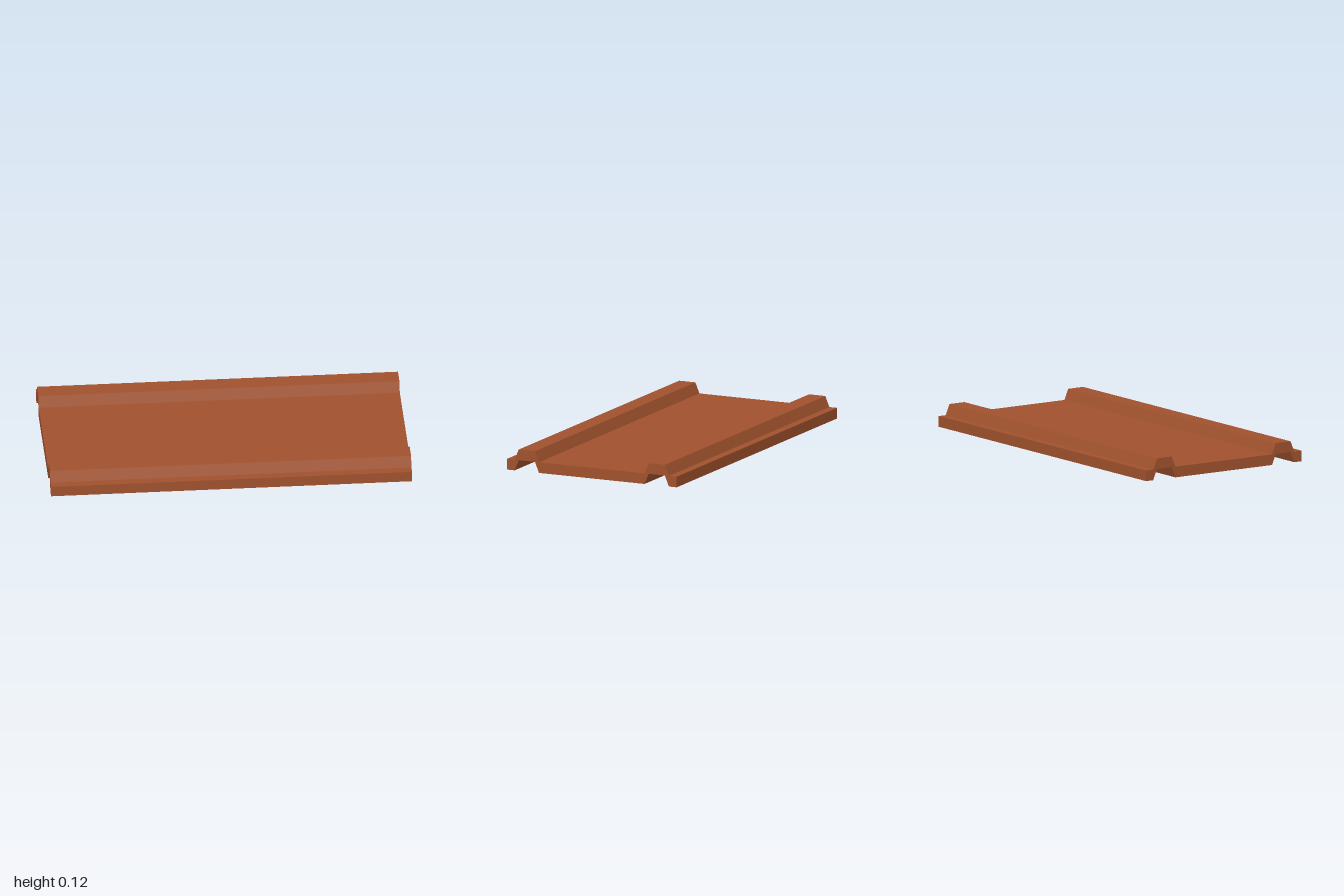
import * as THREE from 'three';

const LENGTH = 2;
const THICKNESS = 0.06;

// Half of the sheet's upper line, from the centre outwards: [z, y]
const HALF_LINE = [[0.325, 0], [0.35, 0.06], [0.45, 0.06], [0.475, 0], [0.523, 0]];

export function createModel() {
  const group = new THREE.Group();
  group.name = 'ribbedPanel';

  const brown = new THREE.MeshStandardMaterial({ color: 0xa0522d });
  brown.name = 'sienna brown';

  // Mirrored line with two raised ribs, offset upwards by the thickness
  const mirrored = HALF_LINE.map(([z, y]) => [-z, y]).reverse();
  const lower = [...mirrored, ...HALF_LINE];
  const upper = lower.map(([z, y]) => [z, y + THICKNESS]).reverse();
  const profile = new THREE.Shape([...lower, ...upper].map(([z, y]) => new THREE.Vector2(z, y)));

  // Sweep the profile along x
  const geometry = new THREE.ExtrudeGeometry(profile, { depth: LENGTH, bevelEnabled: false });
  geometry.translate(0, 0, -LENGTH / 2);
  geometry.rotateY(Math.PI / 2);

  const sheet = new THREE.Mesh(geometry, brown);
  sheet.name = 'ribbedSheet';
  group.add(sheet);
  return group;
}
